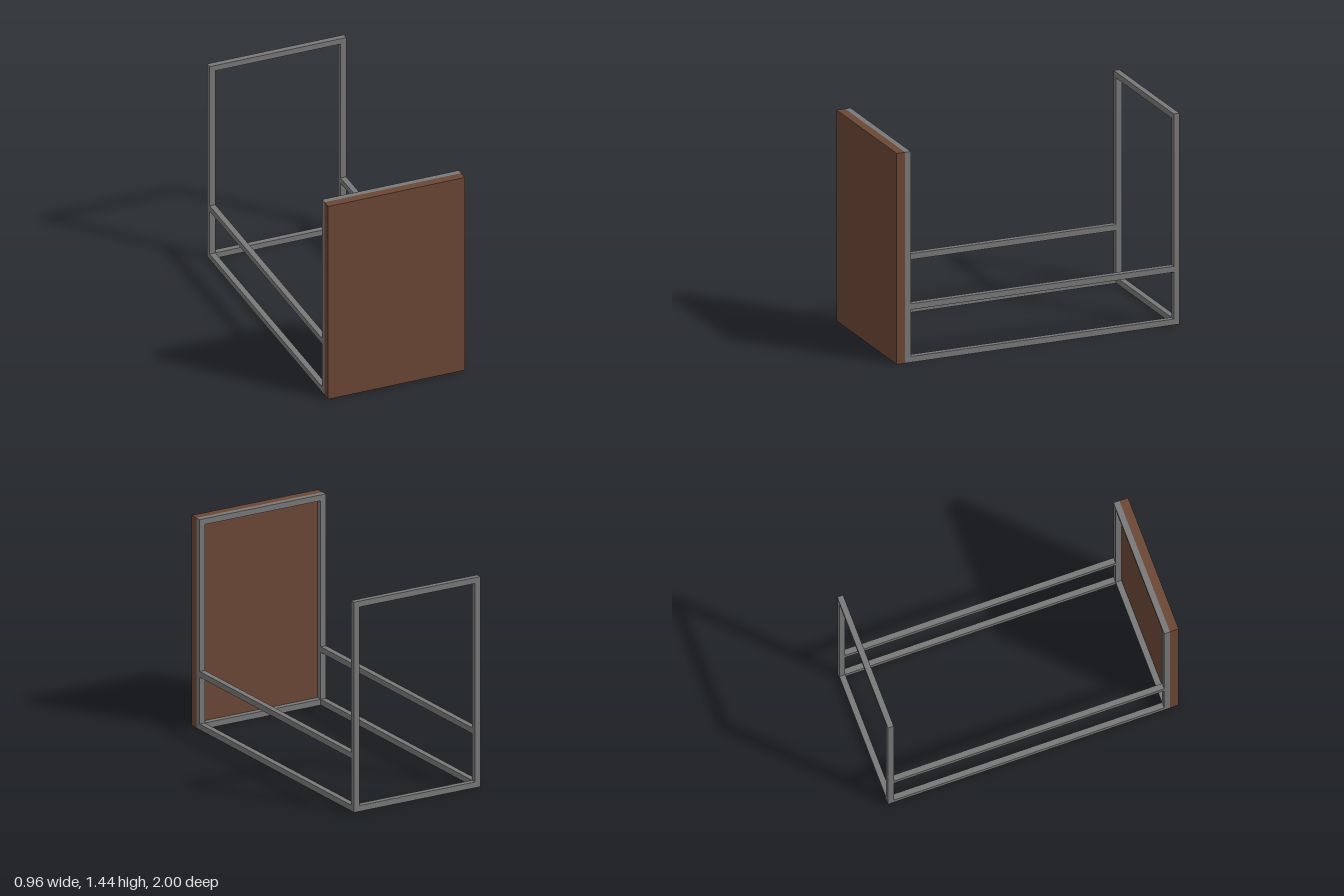
import * as THREE from 'three';

const W = 0.96, H = 1.44, T = 0.04; // frame width, height and tube thickness
const FRONT_Z = 0.92, BACK_Z = -0.98; // centre planes of the two end frames

export function createModel() {
  const steel = new THREE.MeshStandardMaterial({ color: 0x787878 });
  steel.name = 'grey steel';
  const wood = new THREE.MeshStandardMaterial({ color: 0x6b4735 });
  wood.name = 'brown wood';

  const model = new THREE.Group();
  model.name = 'rack';

  function addBox(parent, name, material, size, position) {
    const mesh = new THREE.Mesh(new THREE.BoxGeometry(...size), material);
    mesh.name = name;
    mesh.position.set(...position);
    parent.add(mesh);
  }

  // Upright rectangular end frames: two posts with bars between them
  for (const [name, z] of [['frontFrame', FRONT_Z], ['backFrame', BACK_Z]]) {
    const frame = new THREE.Group();
    frame.name = name;
    frame.position.z = z;
    for (const [side, s] of [['left', 1], ['right', -1]]) {
      addBox(frame, side + 'Post', steel, [T, H, T], [s * (W - T) / 2, H / 2, 0]);
    }
    addBox(frame, 'bottomBar', steel, [W - 2 * T, T, T], [0, T / 2, 0]);
    addBox(frame, 'topBar', steel, [W - 2 * T, T, T], [0, H - T / 2, 0]);
    model.add(frame);
  }

  // Long rails joining the end frames, low and mid height on each side
  const railLength = FRONT_Z - BACK_Z - T;
  const railZ = (FRONT_Z + BACK_Z) / 2;
  for (const [side, s] of [['left', 1], ['right', -1]]) {
    for (const [level, y] of [['Lower', T / 2], ['Upper', 0.38]]) {
      addBox(model, side + level + 'Rail', steel, [T, T, railLength], [s * (W - T) / 2, y, railZ]);
    }
  }

  // Solid board covering the front frame
  addBox(model, 'frontPanel', wood, [W, H, 0.06], [0, H / 2, 0.97]);

  return model;
}
